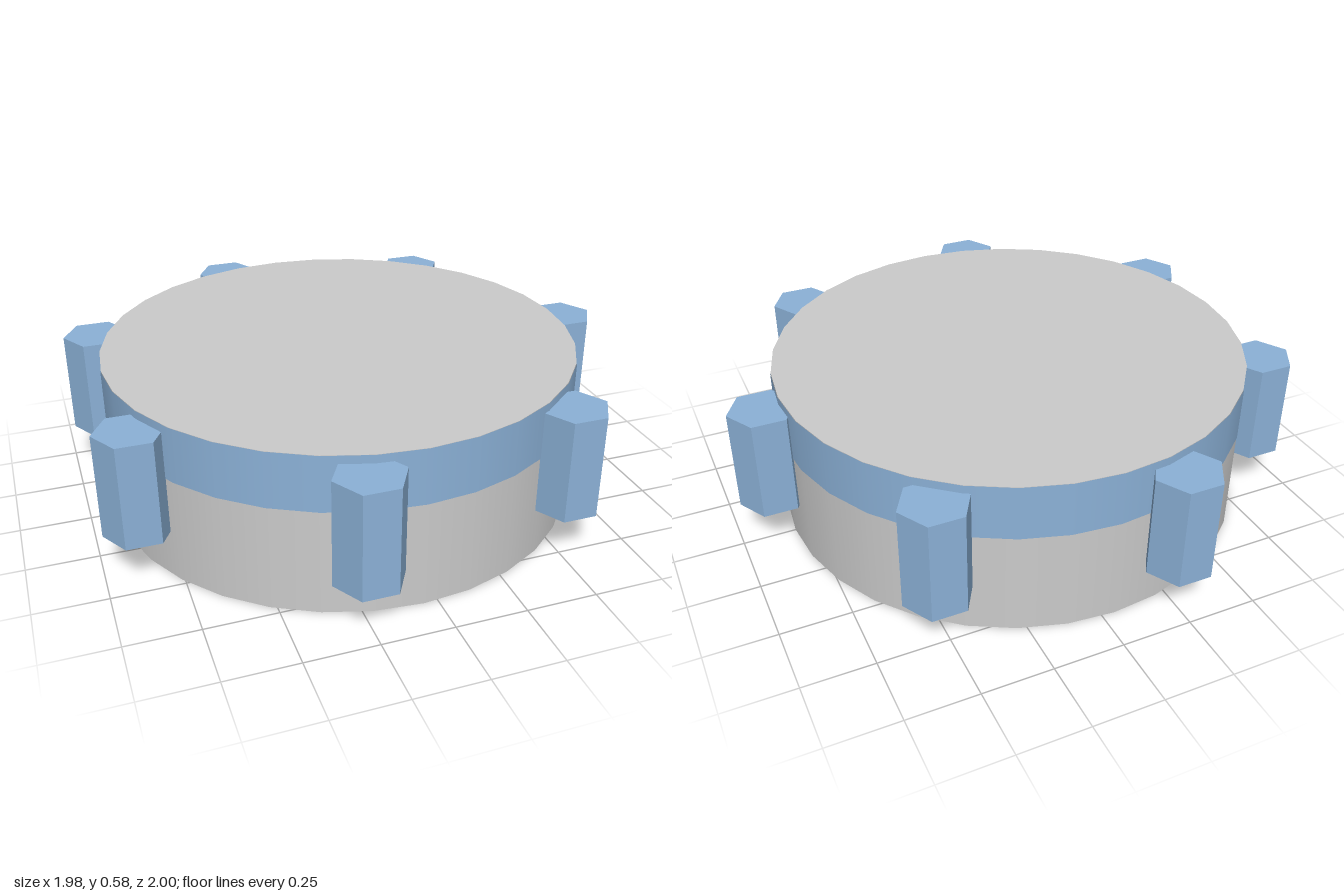
import * as THREE from 'three';

const GREY = 0xcccccc, BLUE = 0x8cb2d8;
const CENTRE_X = -0.047, RADIUS = 0.857, HEIGHT = 0.576, SIDES = 32;
const PEGS = 7, PEG_RADIUS = 0.12, PEG_DISTANCE = 0.917;

function part(name, geometry, color, y, flatShading = false) {
  const mesh = new THREE.Mesh(geometry, new THREE.MeshStandardMaterial({ color, flatShading }));
  mesh.name = name;
  mesh.position.y = y;
  return mesh;
}

export function createModel() {
  const model = new THREE.Group();
  model.name = 'peggedDrum';

  const assembly = new THREE.Group();
  assembly.name = 'drumAssembly';
  assembly.position.x = CENTRE_X;
  model.add(assembly);

  // Round drum with flat top and bottom
  assembly.add(part('drum', new THREE.CylinderGeometry(RADIUS, RADIUS, HEIGHT, SIDES), GREY, HEIGHT / 2));

  // Coloured band around the upper wall
  const bandHeight = 0.198;
  const band = new THREE.CylinderGeometry(RADIUS + 0.002, RADIUS + 0.002, bandHeight, SIDES, 1, true);
  assembly.add(part('rimBand', band, BLUE, HEIGHT - bandHeight / 2));

  // Hexagonal pegs around the rim, all with a corner pointing along x
  const pegGeometry = new THREE.CylinderGeometry(PEG_RADIUS, PEG_RADIUS, 0.372, 6).rotateY(Math.PI / 6);
  for (let i = 0; i < PEGS; i++) {
    const angle = (i / PEGS) * Math.PI * 2;
    const peg = part('peg' + (i + 1), pegGeometry, BLUE, 0.361, true);
    peg.position.x = Math.cos(angle) * PEG_DISTANCE;
    peg.position.z = Math.sin(angle) * PEG_DISTANCE;
    assembly.add(peg);
  }
  return model;
}
